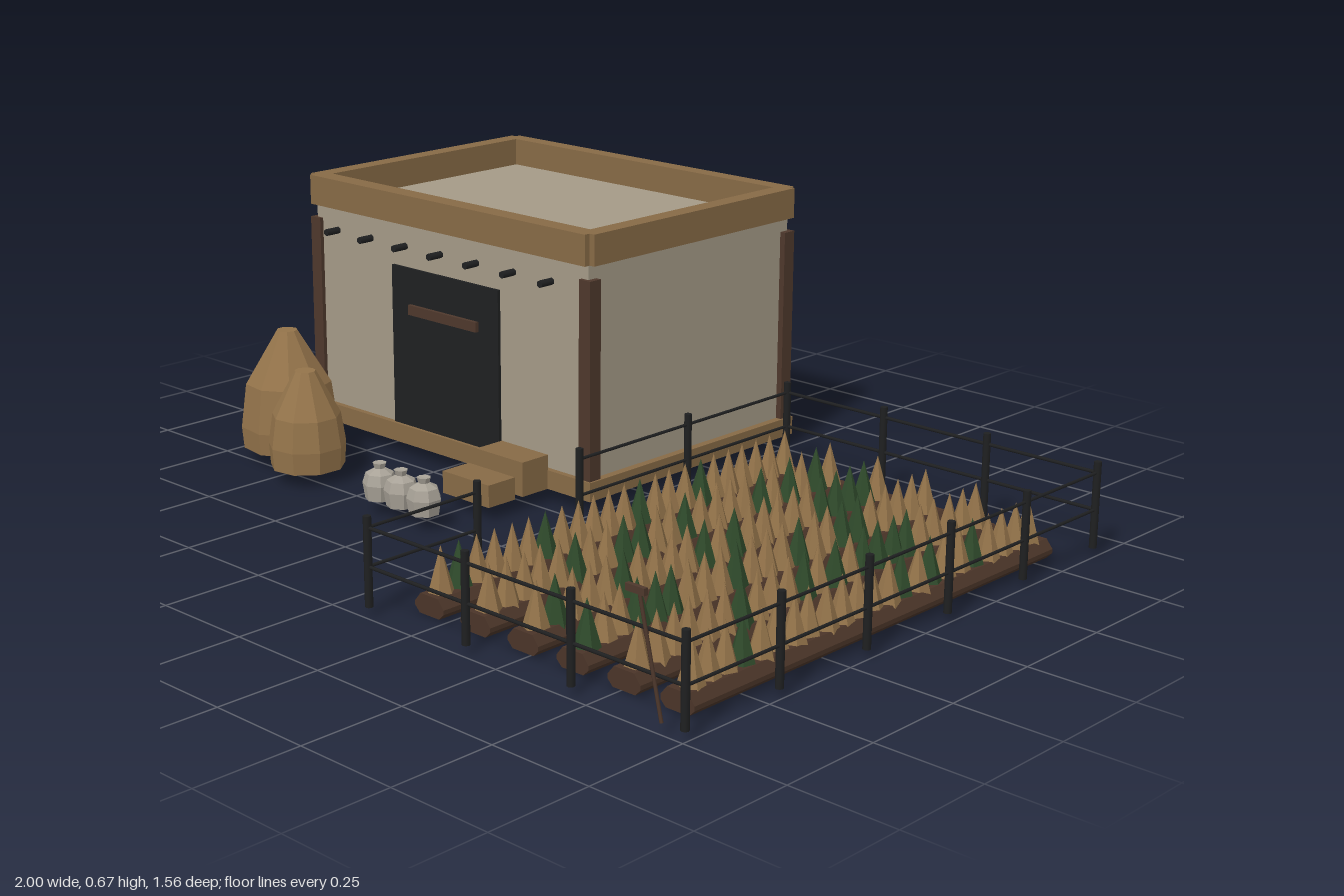
import * as THREE from 'three';

const mat = (name, color, extra = {}) => {
  const m = new THREE.MeshStandardMaterial({ color, ...extra });
  m.name = name;
  return m;
};

export function createModel() {
  const wood = mat('wood', 0x876a46);
  const plaster = mat('plaster', 0xa49a87);
  const darkWood = mat('dark wood', 0x4e382c);
  const iron = mat('iron', 0x1f2021);
  const straw = mat('straw', 0x93734a, { flatShading: true });
  const leaf = mat('leaf', 0x2f4a2b, { flatShading: true });
  const soil = mat('soil', 0x4a3428, { flatShading: true });
  const sackcloth = mat('sackcloth', 0xa8a297, { flatShading: true });

  const root = new THREE.Group();
  root.name = 'farmstead';
  const group = (name) => {
    const g = new THREE.Group();
    g.name = name;
    root.add(g);
    return g;
  };
  const add = (parent, name, geometry, material, x = 0, y = 0, z = 0) => {
    const m = new THREE.Mesh(geometry, material);
    m.name = name;
    m.position.set(x, y, z);
    parent.add(m);
    return m;
  };
  // Box given by its lower and upper limits on each axis
  const box = (parent, name, material, x0, x1, y0, y1, z0, z1) =>
    add(parent, name, new THREE.BoxGeometry(x1 - x0, y1 - y0, z1 - z0), material,
      (x0 + x1) / 2, (y0 + y1) / 2, (z0 + z1) / 2);
  // Straight rod between two points
  const rod = (parent, name, material, a, b, r, sides = 6) => {
    const p = new THREE.Vector3(...a), q = new THREE.Vector3(...b);
    const d = q.clone().sub(p);
    const m = add(parent, name, new THREE.CylinderGeometry(r, r, d.length(), sides), material);
    m.position.copy(p).add(q).multiplyScalar(0.5);
    m.quaternion.setFromUnitVectors(new THREE.Vector3(0, 1, 0), d.normalize());
    return m;
  };
  const lathe = (points, sides) =>
    new THREE.LatheGeometry(points.map(([r, y]) => new THREE.Vector2(r, y)), sides);

  // House body
  const house = group('house');
  box(house, 'foundation', wood, -1, 0, 0.035, 0.082, -0.78, -0.038);
  box(house, 'walls', plaster, -0.98, -0.02, 0.08, 0.605, -0.765, -0.053);
  for (const x of [-0.977, -0.023])
    for (const z of [-0.757, -0.061])
      box(house, 'cornerPost', darkWood, x - 0.018, x + 0.018, 0.08, 0.565, z - 0.018, z + 0.018);

  // Parapet with small notches at the corners
  const parapet = group('parapet');
  box(parapet, 'frontBeam', wood, -0.985, -0.015, 0.6, 0.675, -0.085, -0.036);
  box(parapet, 'backBeam', wood, -0.985, -0.015, 0.6, 0.675, -0.78, -0.737);
  box(parapet, 'rightBeam', wood, -1, -0.955, 0.6, 0.675, -0.766, -0.052);
  box(parapet, 'leftBeam', wood, -0.045, 0, 0.6, 0.675, -0.766, -0.052);

  // Door, its bar and the row of pegs above
  box(house, 'door', iron, -0.69, -0.312, 0.083, 0.49, -0.055, -0.045);
  box(house, 'doorBar', darkWood, -0.622, -0.38, 0.375, 0.4, -0.046, -0.035);
  for (let i = 0; i < 7; i++) {
    const x = -0.9 + i * 0.127;
    rod(house, 'peg', iron, [x, 0.542, -0.06], [x, 0.542, -0.012], 0.009);
  }

  // Steps
  const steps = group('steps');
  box(steps, 'upperStep', wood, -0.297, -0.14, 0.035, 0.12, -0.04, 0.045);
  box(steps, 'lowerStep', wood, -0.297, -0.14, 0.035, 0.09, 0.07, 0.155);

  // Haystacks
  const stack = (x, z, r, top, shoulder, turn) => {
    const g = lathe([[0, 0.035], [r * 0.96, 0.035], [r, 0.09], [r * 0.88, shoulder],
      [0.026, top], [0, top]], 9);
    add(root, 'haystack', g, straw, x, 0, z).rotation.y = turn;
  };
  stack(-0.853, 0.162, 0.122, 0.332, 0.2, 0.2);
  stack(-0.692, 0.24, 0.096, 0.275, 0.165, 0.5);

  // Sacks
  [-0.372, -0.297, -0.218].forEach((x, i) => {
    const g = lathe([[0, 0.035], [0.036, 0.037], [0.042, 0.075], [0.034, 0.1],
      [0.013, 0.112], [0.017, 0.125], [0, 0.123]], 7);
    add(root, 'sack', g, sackcloth, x, 0, 0.286).rotation.y = i;
  });

  // Planted rows
  const field = group('field');
  let seed = 7;
  const random = () => (seed = (seed * 16807) % 2147483647) / 2147483647;
  const section = new THREE.Shape([[-0.03, 0], [0.03, 0], [0.044, 0.014], [0.044, 0.024],
    [0.027, 0.045], [-0.027, 0.045], [-0.044, 0.024], [-0.044, 0.014]]
    .map(([x, y]) => new THREE.Vector2(x, y)));
  const ridge = new THREE.ExtrudeGeometry(section, { depth: 1.2, bevelEnabled: false });
  const cone = new THREE.ConeGeometry(0.032, 0.112, 6);
  for (let r = 0; r < 6; r++) {
    const x = 0.196 + r * 0.14;
    add(field, 'soilRidge', ridge, soil, x, 0.002, -0.55);
    for (let i = 0; i < 23; i++) {
      const green = i === 0 ? r === 3 : random() < 0.32;
      const plant = add(field, green ? 'greenPlant' : 'dryPlant', cone, green ? leaf : straw,
        x + (random() - 0.5) * 0.008, 0.094, 0.612 - i * 0.0509);
      plant.rotation.y = random() * 3;
    }
  }

  // Fence with an opening on the side facing the house
  const fence = group('fence');
  const X0 = 0.1, X1 = 0.99, Z0 = -0.635, Z1 = 0.733;
  const posts = [];
  for (const z of [Z0, Z1])
    for (let i = 0; i < 4; i++) posts.push([X0 + (X1 - X0) * i / 3, z]);
  for (let i = 1; i < 5; i++) posts.push([X1, Z0 + (Z1 - Z0) * i / 5]);
  for (const z of [-0.268, 0.1, 0.418]) posts.push([X0, z]);
  for (const [x, z] of posts)
    rod(fence, 'fencePost', iron, [x, 0.02, z], [x, 0.223, z], 0.009, 8);
  for (const y of [0.11, 0.197]) {
    for (const z of [Z0, Z1]) rod(fence, 'rail', iron, [X0, y, z], [X1, y, z], 0.004);
    for (const [x, a, b] of [[X1, Z0, Z1], [X0, Z0, 0.1], [X0, 0.418, Z1]])
      rod(fence, 'rail', iron, [x, y, a], [x, y, b], 0.004);
  }

  // Hoe leaning by the fence
  const hoe = group('hoe');
  rod(hoe, 'hoeHandle', darkWood, [0.958, 0.035, 0.763], [0.913, 0.29, 0.778], 0.004);
  box(hoe, 'hoeHead', darkWood, 0.882, 0.93, 0.284, 0.299, 0.773, 0.783);

  return root;
}
